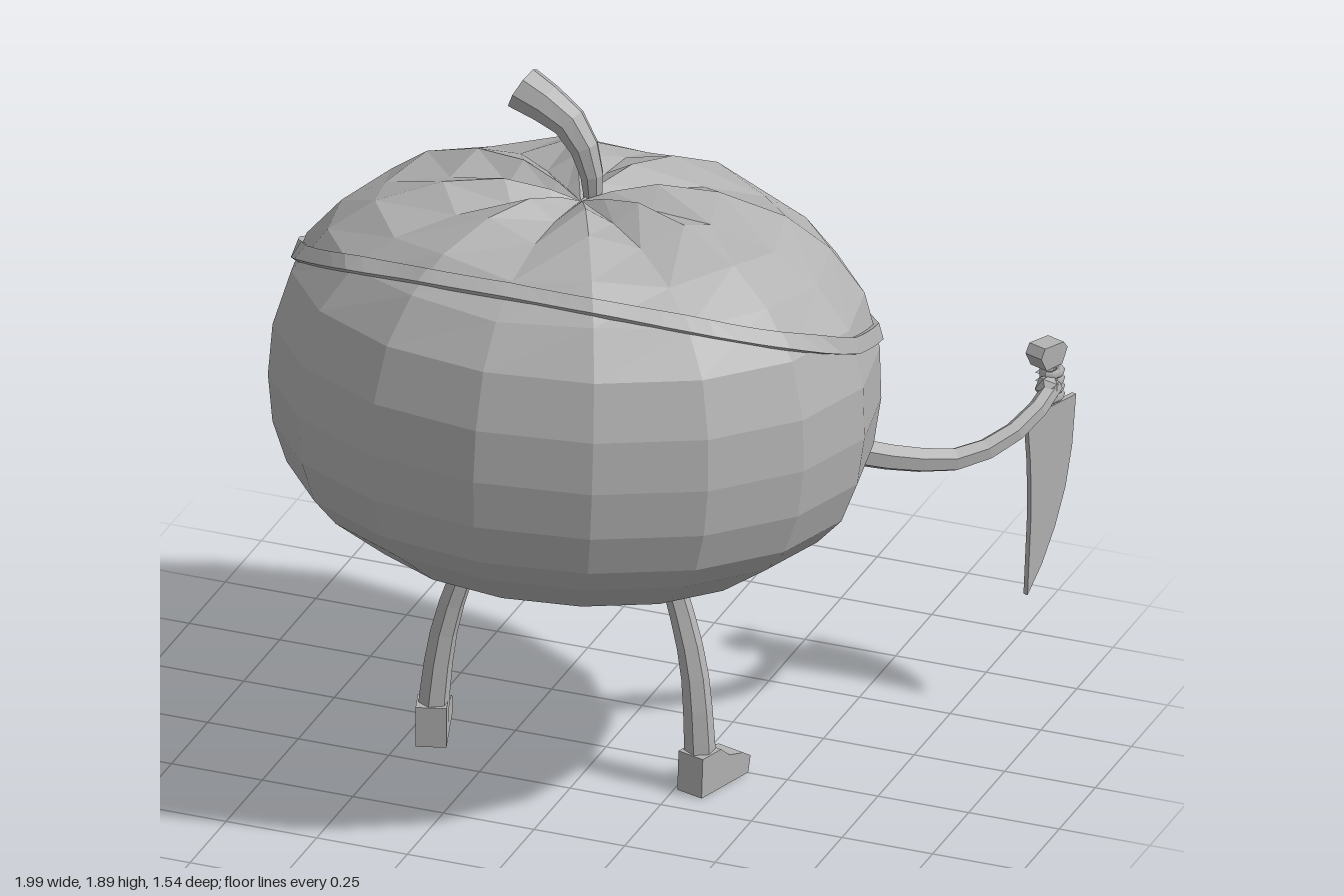
import * as THREE from 'three';

const grey = new THREE.MeshStandardMaterial({ color: 0xb2b2b2 });
const V = (x, y, z) => new THREE.Vector3(x, y, z);

// Faceted skin over a list of closed rings of points
function skin(rings) {
  const n = rings[0].length, pos = [], idx = [];
  rings.forEach(r => r.forEach(p => pos.push(p.x, p.y, p.z)));
  for (let i = 0; i < rings.length - 1; i++) for (let j = 0; j < n; j++) {
    const a = i * n + j, b = i * n + (j + 1) % n;
    idx.push(a, b, b + n, a, b + n, a + n);
  }
  const g = new THREE.BufferGeometry();
  g.setAttribute('position', new THREE.Float32BufferAttribute(pos, 3));
  g.setIndex(idx);
  const flat = g.toNonIndexed();
  flat.computeVertexNormals();
  return flat;
}

// Tapered, capped tube along a smooth path
function limb(points, r0, r1, sides = 6, steps = 7) {
  const curve = new THREE.CatmullRomCurve3(points.map(p => V(...p)));
  const f = curve.computeFrenetFrames(steps);
  const ring = (i, r) => Array.from({ length: sides }, (_, j) => {
    const a = (j / sides) * Math.PI * 2;
    return curve.getPointAt(i / steps)
      .addScaledVector(f.normals[i], r * Math.cos(a)).addScaledVector(f.binormals[i], r * Math.sin(a));
  });
  const rings = [ring(0, 0)];
  for (let i = 0; i <= steps; i++) rings.push(ring(i, r0 + (r1 - r0) * i / steps));
  rings.push(ring(steps, 0));
  return skin(rings);
}

// Flat outline given thickness about its own plane
function slab(outline, depth) {
  const g = new THREE.ExtrudeGeometry(new THREE.Shape(outline.map(p => new THREE.Vector2(...p))),
    { depth, bevelEnabled: false });
  return g.translate(0, 0, -depth / 2);
}

// Body rows: radius fraction, height, groove depth
const ROWS = [[0, 0.565, 0], [0.36, 0.58, 0], [0.67, 0.65, 0], [0.85, 0.75, 0], [0.93, 0.82, 0], [0.98, 0.93, 0],
  [1, 1.06, 0], [0.99, 1.2, 0], [0.935, 1.35, 0], [0.82, 1.47, 0.012], [0.67, 1.555, 0.025],
  [0.45, 1.615, 0.04], [0.25, 1.63, 0.045], [0.1, 1.605, 0.025], [0, 1.575, 0]];
const SEG = 16, TAU = Math.PI * 2, TILT = new THREE.Vector3(1, 0, 0);

function bodyVertex(i, j) {
  const [r, y, groove] = ROWS[i], a = (j / SEG) * TAU;
  const p = V(0.8 * r * Math.sin(a), y - 1.1 - groove * (j % 2 ? 0 : 1), 0.705 * r * Math.cos(a));
  return p.applyAxisAngle(TILT, -0.08).add(V(-0.06, 1.1, 0.065));
}

// Point on the body skin at row t and angle a
function bodyPoint(t, a) {
  const i = Math.min(Math.floor(t), ROWS.length - 2);
  const s = (((a / TAU) * SEG) % SEG + SEG) % SEG, j = Math.floor(s);
  const lo = bodyVertex(i, j).lerp(bodyVertex(i, j + 1), s - j);
  const hi = bodyVertex(i + 1, j).lerp(bodyVertex(i + 1, j + 1), s - j);
  return lo.lerp(hi, t - i);
}

// Point lifted off the body, at a height measured from the strap line
const strapLine = z => 1.29 + 0.38 * z + 0.2 * z * z;
function onBody(a, dy, lift) {
  let lo = 3, hi = 12;
  for (let k = 0; k < 30; k++) {
    const mid = (lo + hi) / 2, p = bodyPoint(mid, a);
    if (p.y < strapLine(p.z) + dy) lo = mid; else hi = mid;
  }
  const across = bodyPoint(lo, a + 0.05).sub(bodyPoint(lo, a - 0.05));
  const up = bodyPoint(lo + 0.2, a).sub(bodyPoint(lo - 0.2, a));
  return bodyPoint(lo, a).addScaledVector(across.cross(up).normalize(), lift);
}

export function createModel() {
  const model = new THREE.Group();
  const add = (name, geo, parent = model) => {
    const m = new THREE.Mesh(geo, grey);
    m.name = name;
    parent.add(m);
    return m;
  };

  // Grooved body and stem
  add('body', skin(ROWS.map((_, i) => Array.from({ length: SEG }, (_, j) => bodyVertex(i, j)))));
  add('stem', limb([[-0.04, 1.56, -0.01], [-0.05, 1.67, -0.01], [-0.11, 1.77, -0.02], [-0.245, 1.835, -0.035]],
    0.024, 0.062, 8, 5));

  // Slanted strap around the body
  const strap = [];
  for (let k = 0; k <= 64; k++) {
    const a = (k % 64) / 64 * TAU, w = 0.022;
    strap.push([onBody(a, w, 0.015), onBody(a, -w, 0.015), onBody(a, -w, -0.02), onBody(a, w, -0.02)]);
  }
  add('strap', skin(strap));

  // Eye patch hanging from the strap
  const patchRing = (scale, lift) => Array.from({ length: 20 }, (_, k) => {
    const a = (k / 20) * TAU, s = Math.sin(a);
    return onBody(Math.PI + 0.28 + 0.21 * scale * Math.cos(a), scale * s * (s > 0 ? 0.03 : 0.15) - 0.01, lift);
  });
  add('eyePatch', skin([patchRing(1, -0.01), patchRing(1, 0.009), patchRing(0.65, 0.009),
    patchRing(0.3, 0.009), patchRing(0, 0.009)]));

  // Legs and splayed feet
  for (const side of [1, -1]) {
    const x = d => -0.06 + side * d, label = side > 0 ? 'left' : 'right';
    add(label + 'Leg', limb([[x(0.25), 0.63, 0.075], [x(0.30), 0.48, 0.085], [x(0.34), 0.34, 0.1],
      [x(0.36), 0.2, 0.115], [x(0.37), 0.05, 0.125]], 0.028, 0.042));
    const foot = add(label + 'Foot', slab([[-0.045, 0], [0.145, 0], [0.155, 0.045], [0.125, 0.065],
      [0.07, 0.08], [0.035, 0.11], [-0.04, 0.11]], 0.08));
    foot.position.set(x(0.37), 0, 0.125);
    foot.rotation.y = Math.PI / 2 - 0.3 * side;
  }

  // Arms
  add('leftArm', limb([[0.6, 0.86, -0.22], [0.7, 0.825, -0.29], [0.82, 0.8, -0.39], [0.91, 0.83, -0.49],
    [0.96, 0.88, -0.6], [0.97, 0.91, -0.67]], 0.038, 0.024));
  add('rightArm', limb([[-0.72, 0.91, -0.22], [-0.84, 0.88, -0.27], [-0.93, 0.81, -0.31], [-0.97, 0.7, -0.35],
    [-0.965, 0.6, -0.39], [-0.945, 0.52, -0.43]], 0.038, 0.024));

  // Open hand with curled fingers
  const hand = new THREE.Group();
  hand.name = 'rightHand';
  model.add(hand);
  const palm = add('palm', new THREE.IcosahedronGeometry(0.032, 0), hand);
  palm.position.set(-0.945, 0.52, -0.43);
  for (let k = 0; k < 4; k++) {
    const z = -0.405 - k * 0.02, y = 0.505 - 0.01 * Math.sin(k);
    add('finger', limb([[-0.95, y, z], [-0.955, y - 0.03, z], [-0.935, y - 0.045, z], [-0.915, y - 0.03, z]],
      0.011, 0.008, 5, 4), hand);
  }
  add('thumb', limb([[-0.94, 0.53, -0.43], [-0.915, 0.51, -0.425], [-0.91, 0.485, -0.43]], 0.012, 0.008, 5, 3), hand);

  // Curved knife
  const knife = new THREE.Group();
  knife.name = 'knife';
  knife.position.set(0.92, 0, -0.595);
  knife.rotation.y = 1.21;
  model.add(knife);
  add('blade', slab([[0, 0.33], [0.055, 0.4], [0.105, 0.49], [0.145, 0.59], [0.17, 0.7], [0.185, 0.84],
    [0, 0.84], [0.012, 0.7], [0.014, 0.56]], 0.014), knife);
  add('handle', new THREE.CylinderGeometry(0.022, 0.022, 0.16, 6).toNonIndexed(), knife).position.set(0.1, 0.9, -0.015);
  add('pommel', slab([[0.07, 0.95], [0.13, 0.95], [0.15, 0.99], [0.135, 1.01], [0.065, 1.015], [0.05, 0.99]], 0.055),
    knife).position.z = -0.018;

  // Fist around the handle
  const fist = new THREE.Group();
  fist.name = 'leftHand';
  knife.add(fist);
  const fistPalm = add('palm', new THREE.IcosahedronGeometry(0.036, 0), fist);
  fistPalm.position.set(0.07, 0.905, 0.015);
  for (let k = 0; k < 4; k++) {
    const finger = add('finger', new THREE.TorusGeometry(0.032, 0.012, 5, 7, 4.6), fist);
    finger.rotation.x = Math.PI / 2;
    finger.rotation.z = -2;
    finger.position.set(0.1, 0.865 + k * 0.023, -0.012);
  }
  return model;
}
